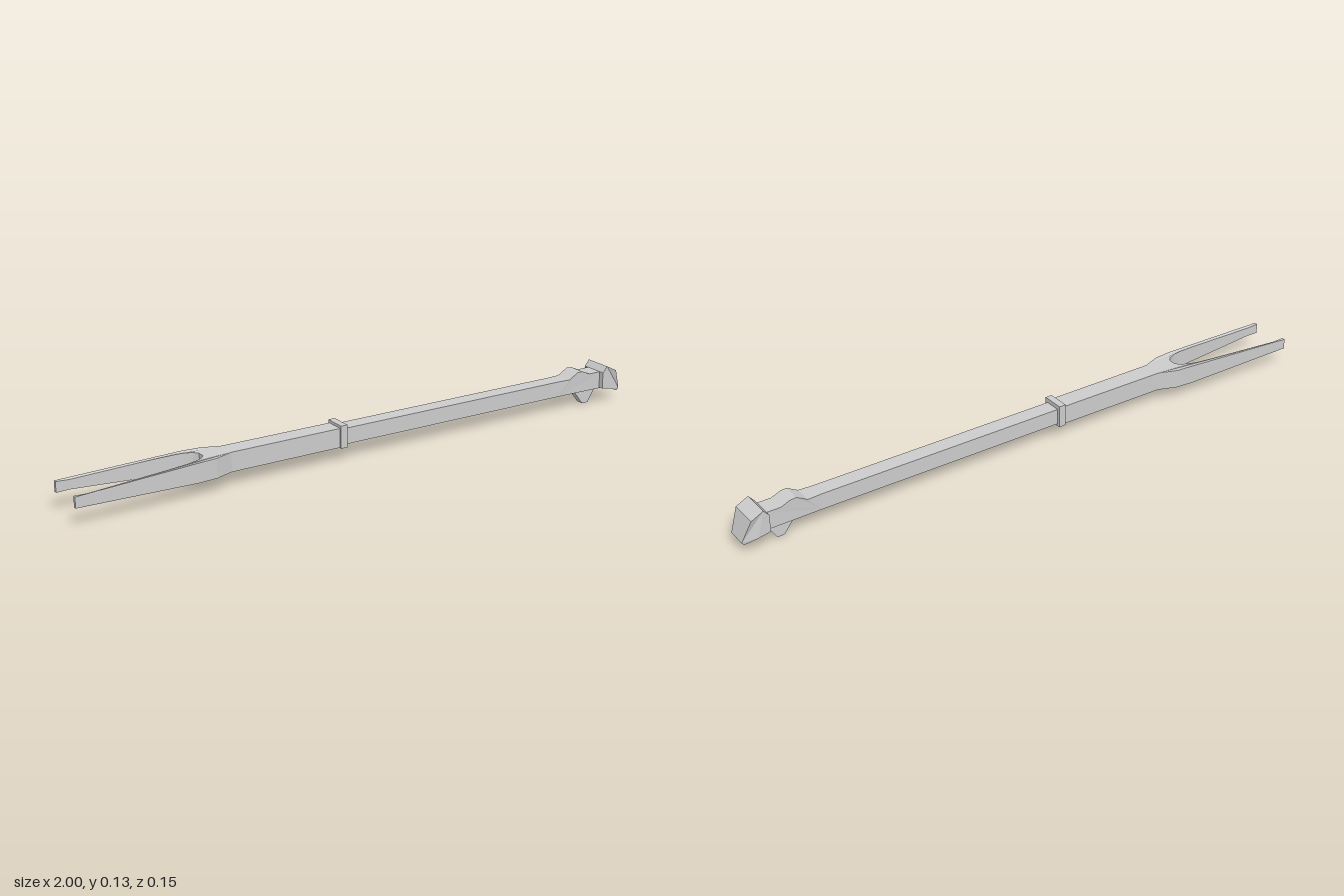
import * as THREE from 'three';

const material = new THREE.MeshStandardMaterial({ color: 0xcccccc, flatShading: true });

// Extrude a side profile (x, y) symmetrically across z
function slab(points, halfWidth) {
  const shape = new THREE.Shape(points.map(([x, y]) => new THREE.Vector2(x, y)));
  return new THREE.ExtrudeGeometry(shape, { depth: halfWidth * 2, bevelEnabled: false })
    .translate(0, 0, -halfWidth);
}

// Move every vertex by a rule, then refresh the flat normals
function reshape(geometry, rule) {
  const p = geometry.attributes.position;
  const v = new THREE.Vector3();
  for (let i = 0; i < p.count; i++) {
    rule(v.fromBufferAttribute(p, i));
    p.setXYZ(i, v.x, v.y, v.z);
  }
  geometry.computeVertexNormals();
  return geometry;
}

function box(x0, x1, y0, y1, halfWidth) {
  return new THREE.BoxGeometry(x1 - x0, y1 - y0, halfWidth * 2)
    .translate((x0 + x1) / 2, (y0 + y1) / 2, 0);
}

export function createModel() {
  const group = new THREE.Group();
  const add = (name, geometry) => {
    const mesh = new THREE.Mesh(geometry, material);
    mesh.name = name;
    group.add(mesh);
  };

  // Two-pronged fork: half outline [x, z], mirrored, thinning towards the tips
  const half = [
    [-0.1, 0.031], [-0.49, 0.032], [-0.55, 0.054], [-0.61, 0.059], [-0.96, 0.073], [-1, 0.074],
    [-1, 0.063], [-0.96, 0.062], [-0.7, 0.049], [-0.64, 0.044], [-0.61, 0.038], [-0.585, 0.026], [-0.573, 0.012],
  ];
  const mirrored = half.map(([x, z]) => [x, -z]).reverse();
  const halfHeight = (x) => {
    if (x > -0.61) return 0.031;
    if (x < -0.96) return THREE.MathUtils.mapLinear(x, -1, -0.96, 0.017, 0.015);
    return THREE.MathUtils.mapLinear(x, -0.96, -0.61, 0.015, 0.031);
  };
  const fork = slab([...half, ...mirrored], 1).rotateX(-Math.PI / 2);
  add('fork', reshape(fork, (v) => { v.y = 0.076 + v.y * halfHeight(v.x); }));

  // Shaft and the collar where it meets the fork
  add('shaft', box(-0.11, 0.86, 0.05, 0.102, 0.027));
  add('collar', box(-0.115, -0.092, 0.043, 0.116, 0.037));

  // Neck with a raised hump, flush with the shaft where it begins
  const neck = slab([
    [0.74, 0.05], [0.92, 0.05], [0.92, 0.108], [0.87, 0.108],
    [0.84, 0.121], [0.82, 0.122], [0.785, 0.102], [0.74, 0.102],
  ], 0.03);
  add('neck', reshape(neck, (v) => { if (v.x < 0.75) v.z *= 0.9; }));

  // Small wedge-shaped catch underneath
  add('catch', slab([
    [0.81, 0.052], [0.825, 0.044], [0.858, 0.002], [0.868, 0], [0.882, 0.002], [0.913, 0.052],
  ], 0.0125));

  // Slanted head, narrowing towards its lower tip
  const head = slab([
    [0.915, 0.053], [0.955, 0.045], [0.993, 0.029], [1, 0.038],
    [0.972, 0.108], [0.932, 0.128], [0.915, 0.108],
  ], 0.047);
  add('head', reshape(head, (v) => { if (v.y < 0.04) v.z *= 0.68; }));

  return group;
}
